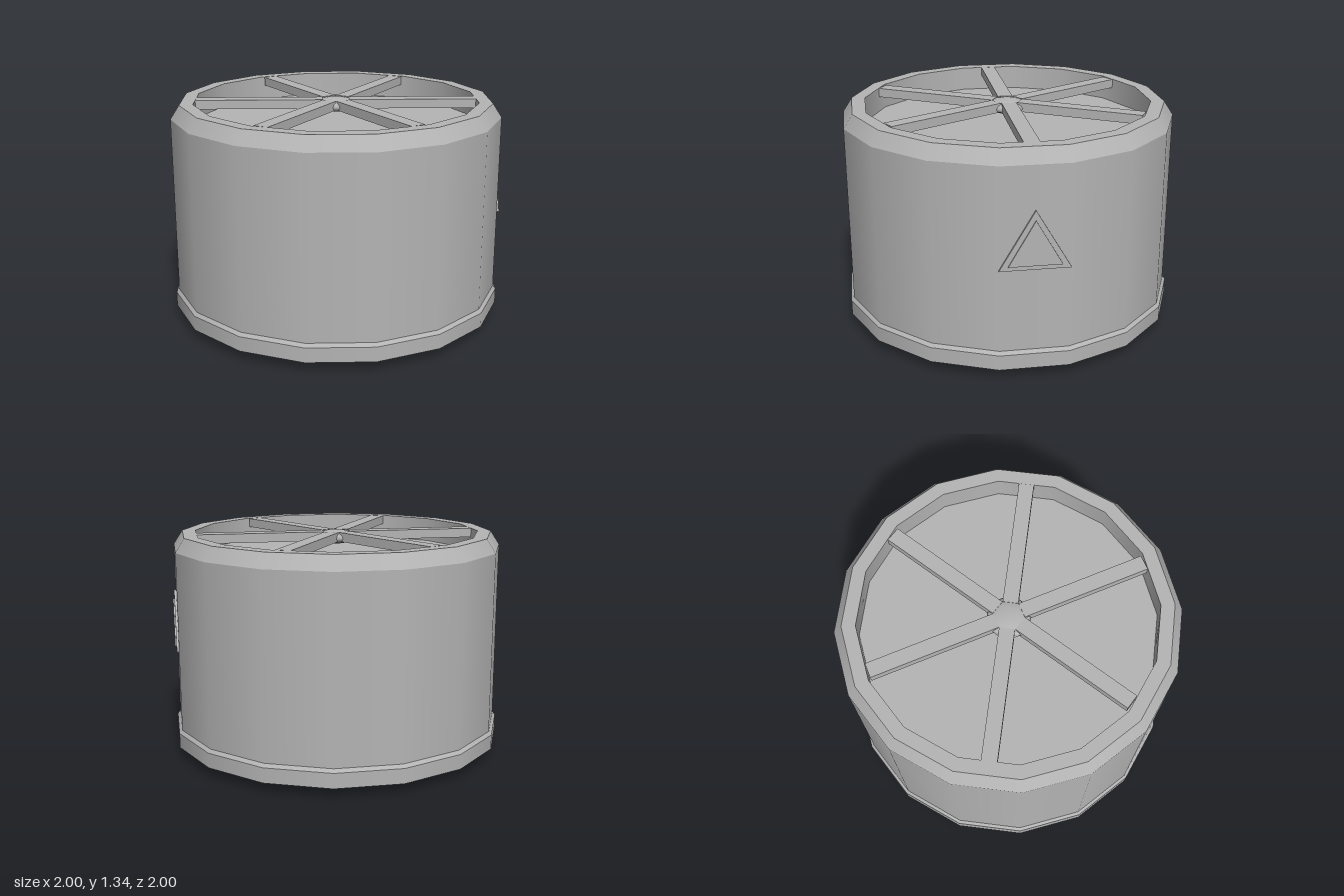
import * as THREE from 'three';

const SIDES = 16;
const FLAT = Math.cos(Math.PI / SIDES); // apothem / radius

export function createModel() {
  const model = new THREE.Group();
  const grey = new THREE.MeshStandardMaterial({ color: 0xb4b4b4, side: THREE.DoubleSide });
  grey.name = 'plain grey';

  function add(name, geometry, parent = model) {
    const mesh = new THREE.Mesh(geometry, grey);
    mesh.name = name;
    parent.add(mesh);
    return mesh;
  }

  // Hull, open underneath: one band per profile step keeps the creases sharp
  const profile = [
    [1.0, 0.06], [1.0, 0.15], [0.983, 0.17], [0.983, 1.25],
    [0.93, 1.333], [0.85, 1.333], [0.85, 1.185], [0, 1.185],
  ].map(([apothem, y]) => new THREE.Vector2(apothem / FLAT, y));
  const names = ['baseRing', 'baseRingBevel', 'wall', 'topChamfer', 'topRim', 'recessWall', 'recessFloor'];
  names.forEach((name, i) => {
    add(name, new THREE.LatheGeometry([profile[i], profile[i + 1]], SIDES, Math.PI / SIDES));
  });

  // Six spokes of the top guard, flush with the rim
  const guard = new THREE.Group();
  guard.name = 'topGuard';
  model.add(guard);
  for (let i = 0; i < 6; i++) {
    const angle = Math.PI / 12 + i * Math.PI / 3;
    const spoke = add('guardSpoke', new THREE.BoxGeometry(0.77, 0.055, 0.09), guard);
    spoke.position.set(0.465 * Math.cos(angle), 1.305, 0.465 * Math.sin(angle));
    spoke.rotation.y = -angle;
  }
  const hub = add('guardHub', new THREE.SphereGeometry(0.13, 12, 8), guard);
  hub.scale.y = 0.32;
  hub.position.y = 1.298;

  // Three pitched blades and a small hub below
  const fan = new THREE.Group();
  fan.name = 'fan';
  model.add(fan);
  for (let i = 0; i < 3; i++) {
    const angle = Math.PI / 6 + i * 2 * Math.PI / 3;
    const blade = add('fanBlade', new THREE.BoxGeometry(0.62, 0.03, 0.22), fan);
    blade.position.set(0.457 * Math.cos(angle), 0.065, 0.457 * Math.sin(angle));
    blade.rotation.set(0.49, angle, 0, 'YXZ');
  }
  const fanHub = add('fanHub', new THREE.CylinderGeometry(0.15, 0.138, 0.06, 8), fan);
  fanHub.position.y = 0.06;

  // Triangular plate with a raised centre on the back left face
  const triangle = (width, bottom, top, depth) => {
    const shape = new THREE.Shape();
    shape.moveTo(-width / 2, bottom);
    shape.lineTo(width / 2, bottom);
    shape.lineTo(0, top);
    return new THREE.ExtrudeGeometry(shape, { depth, bevelEnabled: false });
  };
  const sign = new THREE.Group();
  sign.name = 'trianglePlate';
  sign.rotation.y = 0.75 * Math.PI;
  sign.position.set(0.978 * Math.SQRT1_2, 0, -0.978 * Math.SQRT1_2);
  model.add(sign);
  add('triangleBase', triangle(0.4, 0.66, 1.0, 0.018), sign);
  add('triangleCentre', triangle(0.3, 0.685, 0.945, 0.026), sign);

  return model;
}
